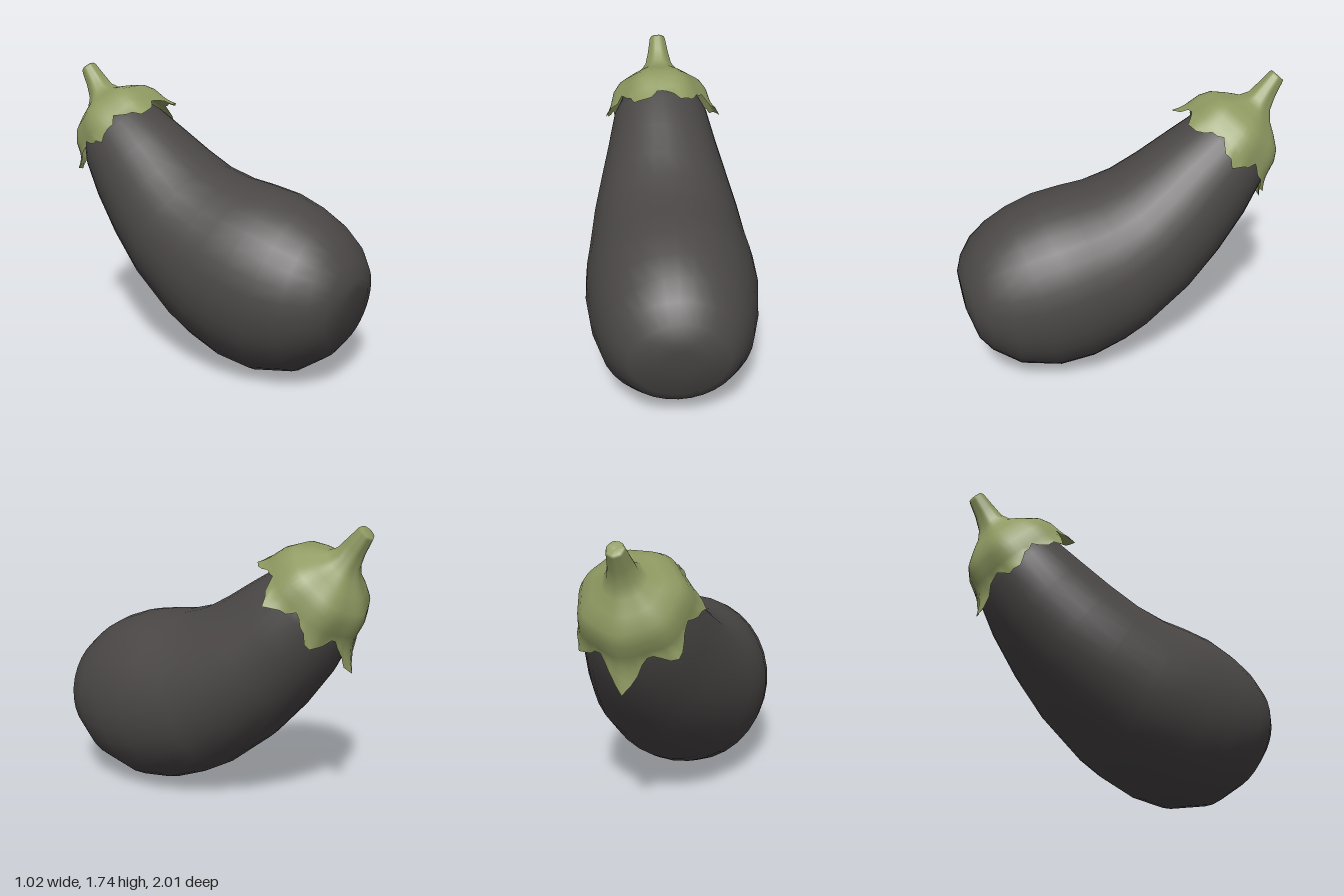
import * as THREE from 'three';

const skin = new THREE.MeshStandardMaterial({ color: 0x4b4747 });
skin.name = 'dark skin';
const green = new THREE.MeshStandardMaterial({ color: 0x8f9a62, side: THREE.DoubleSide });
green.name = 'calyx green';

// Closed-ring loft: point(row, angle) gives [x, y, z]
function loft(rows, segs, point) {
  const pos = [], index = [];
  for (let i = 0; i < rows; i++)
    for (let j = 0; j < segs; j++) pos.push(...point(i, (j / segs) * Math.PI * 2));
  for (let i = 0; i < rows - 1; i++)
    for (let j = 0; j < segs; j++) {
      const k = (j + 1) % segs;
      const a = i * segs + j, b = i * segs + k, c = a + segs, d = b + segs;
      index.push(a, b, c, b, d, c);
    }
  const g = new THREE.BufferGeometry();
  g.setAttribute('position', new THREE.Float32BufferAttribute(pos, 3));
  g.setIndex(index);
  g.computeVertexNormals();
  return g;
}

// Fruit sections: upper z, y, lower z, y, half width
const SECTIONS = [
  [0.995, 0.6, 0.995, 0.6, 0],
  [1.0, 0.66, 0.98, 0.45, 0.15],
  [0.97, 0.75, 0.92, 0.26, 0.28],
  [0.9, 0.86, 0.85, 0.17, 0.36],
  [0.8, 0.95, 0.68, 0.05, 0.435],
  [0.68, 1.02, 0.43, 0.0, 0.485],
  [0.52, 1.08, 0.22, 0.035, 0.51],
  [0.35, 1.11, 0.02, 0.12, 0.505],
  [0.2, 1.13, -0.12, 0.2, 0.485],
  [0.03, 1.18, -0.4, 0.43, 0.45],
  [-0.13, 1.27, -0.6, 0.65, 0.4],
  [-0.3, 1.38, -0.77, 0.88, 0.345],
  [-0.48, 1.49, -0.87, 1.07, 0.3],
  [-0.6, 1.54, -0.91, 1.2, 0.24],
  [-0.72, 1.5, -0.87, 1.32, 0.13],
  [-0.8, 1.41, -0.8, 1.41, 0],
];

function fruitPoint(i, a) {
  const [tz, ty, bz, by, hx] = SECTIONS[i];
  const c = Math.cos(a) / 2;
  return [Math.sin(a) * hx, (ty + by) / 2 + c * (ty - by), (tz + bz) / 2 + c * (tz - bz)];
}

// Calyx lobes: angle in degrees from the upper side, length, outward curl
const LOBES = [
  [24, 0.1, 0.02], [78, 0.1, 0.035], [132, 0.11, 0.03], [180, 0.17, 0.1],
  [228, 0.09, 0.04], [282, 0.1, 0.02], [336, 0.11, 0.02],
];

function lobeAt(a) {
  const deg = (a * 180) / Math.PI;
  let len = 0, curl = 0;
  for (const [at, l, c] of LOBES) {
    const gap = Math.abs(((deg - at + 540) % 360) - 180);
    const k = Math.max(0, 1 - gap / 27);
    len = Math.max(len, l * Math.pow(k, 0.8));
    curl = Math.max(curl, c * k * k);
  }
  return [len, curl];
}

// Calyx rows from lobe tips to stem end: axial position, radius, lobe share, shift
const CALYX = [
  [0.02, 0.315, 1, 0], [0.02, 0.315, 0.66, 0], [0.02, 0.315, 0.33, 0],
  [0.02, 0.315, 0, 0], [-0.05, 0.298, 0, 0], [-0.11, 0.262, 0, 0],
  [-0.165, 0.19, 0, 0], [-0.21, 0.12, 0, 0], [-0.26, 0.083, 0, 0.01],
  [-0.34, 0.064, 0, 0.025], [-0.425, 0.05, 0, 0.035], [-0.44, 0.044, 0, 0.035],
  [-0.435, 0, 0, 0.035],
];

function calyxPoint(i, a) {
  const [s0, r0, share, shift] = CALYX[i];
  const [len, curl] = lobeAt(a);
  const jag = share * 0.012 * Math.sin(a * 23 + 1);
  const s = s0 + len * share + jag;
  // soft ribs run from the lobes up to the stem
  const rib = 1 + 0.025 * Math.cos(a * 7 - 3);
  const r = r0 * rib + 0.22 * len * share + curl * share * share;
  const v = r * Math.cos(a) + shift;
  return [r * Math.sin(a), 1.36 - 0.735 * s + 0.68 * v, -0.7 + 0.68 * s + 0.735 * v];
}

export function createModel() {
  const group = new THREE.Group();
  group.name = 'eggplant';

  const fruit = new THREE.Mesh(loft(SECTIONS.length, 32, fruitPoint), skin);
  fruit.name = 'fruit';
  group.add(fruit);

  const calyx = new THREE.Mesh(loft(CALYX.length, 60, calyxPoint), green);
  calyx.name = 'calyxAndStem';
  group.add(calyx);

  return group;
}
